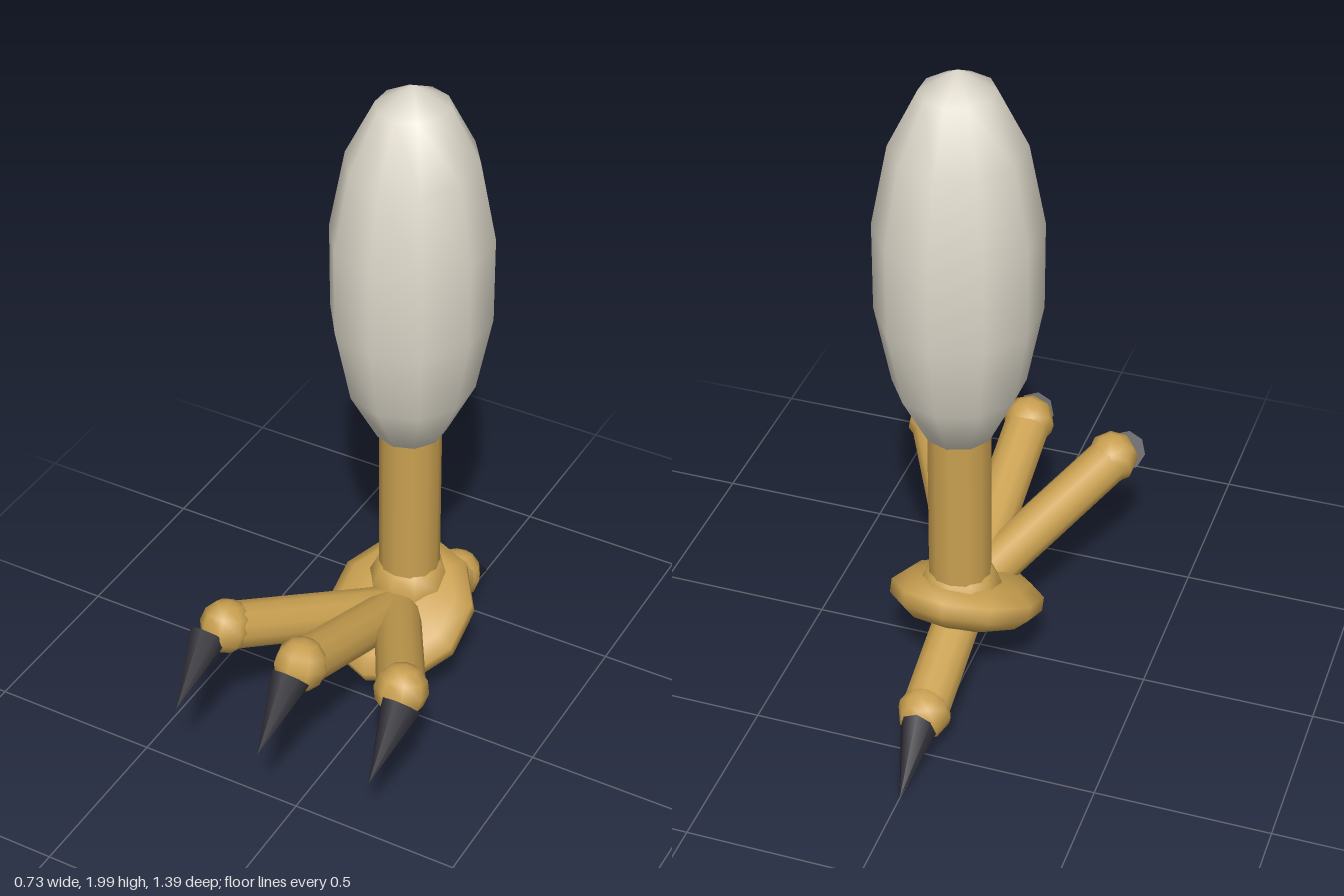
import * as THREE from 'three';

const feather = new THREE.MeshStandardMaterial({ color: 0xddd8ca });
feather.name = 'feather grey';
const skin = new THREE.MeshStandardMaterial({ color: 0xc9a050 });
skin.name = 'ochre skin';
const horn = new THREE.MeshStandardMaterial({ color: 0x2a2a32 });
horn.name = 'dark horn';

const UP = new THREE.Vector3(0, 1, 0);

function add(parent, name, geometry, material) {
  const mesh = new THREE.Mesh(geometry, material);
  mesh.name = name;
  parent.add(mesh);
  return mesh;
}

// Coarse ellipsoid with corners on the z axis
function blob(parent, name, material, rx, ry, rz, w, h) {
  const g = new THREE.SphereGeometry(1, w, h).rotateY(Math.PI / 2).scale(rx, ry, rz);
  return add(parent, name, g, material);
}

// Tapered rod running from a to b
function rod(parent, name, material, a, b, ra, rb, sides) {
  const d = b.clone().sub(a);
  const g = rb === 0
    ? new THREE.ConeGeometry(ra, d.length(), sides)
    : new THREE.CylinderGeometry(rb, ra, d.length(), sides);
  const mesh = add(parent, name, g, material);
  mesh.position.copy(a).addScaledVector(d, 0.5);
  mesh.quaternion.setFromUnitVectors(UP, d.normalize());
  return mesh;
}

export function createModel() {
  const model = new THREE.Group();
  model.name = 'birdFoot';

  // Leg: feathered thigh, bare shank and ankle
  blob(model, 'featheredThigh', feather, 0.23, 0.575, 0.243, 10, 7).position.set(0, 1.425, -0.174);
  rod(model, 'shank', skin, new THREE.Vector3(0, 0.32, -0.174), new THREE.Vector3(0, 1, -0.174), 0.089, 0.089, 12);
  blob(model, 'ankle', skin, 0.12, 0.12, 0.12, 10, 7).position.set(0, 0.35, -0.174);

  // Flattened pad, dipping to the front
  const pad = blob(model, 'footPad', skin, 0.223, 0.09, 0.246, 10, 7);
  pad.position.set(0, 0.285, -0.116);
  pad.rotation.x = 0.454;

  // Toes fan out in one plane that rises to the front
  const hub = new THREE.Vector3(0, 0.296, -0.1);
  const tilt = new THREE.Euler(-0.367, 0, 0);
  const toes = [
    ['middleToe', 0, 0.595, 1],
    ['leftToe', 0.485, 0.595, 1],
    ['rightToe', -0.485, 0.595, 1],
    ['backToe', Math.PI, 0.41, -1],
  ];
  for (const [name, angle, length, facing] of toes) {
    const toe = new THREE.Group();
    toe.name = name;
    model.add(toe);

    const dir = new THREE.Vector3(Math.sin(angle), 0, Math.cos(angle)).applyEuler(tilt);
    const end = hub.clone().addScaledVector(dir, length);
    rod(toe, name + 'Bone', skin, hub, end, 0.068, 0.068, 12);

    const knuckle = blob(toe, name + 'Knuckle', skin, 0.077, 0.077, 0.077, 8, 6);
    knuckle.position.copy(end);
    knuckle.rotation.set(-0.367, angle, 0);

    // Claw points straight ahead and down
    const flat = new THREE.Vector3(Math.sin(angle), 0, Math.cos(angle));
    const base = end.clone().addScaledVector(flat, facing > 0 ? 0.058 : 0.028);
    base.y -= 0.006;
    const tip = base.clone().add(new THREE.Vector3(0, -0.134, 0.182 * facing));
    rod(toe, name + 'Claw', horn, base, tip, 0.059, 0, 8);
  }
  return model;
}
